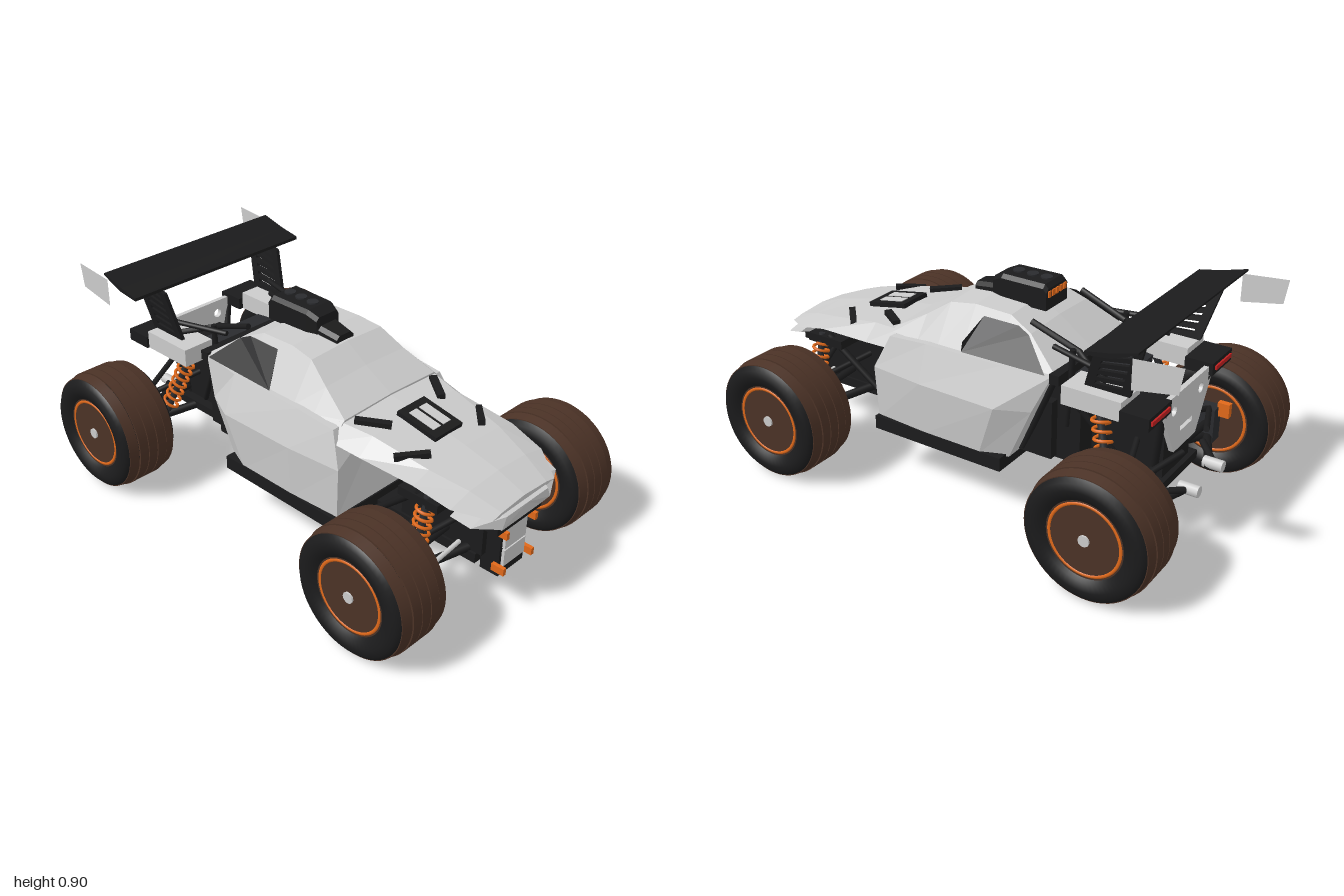
import * as THREE from 'three';

const GREY = 0xcccccc, BLACK = 0x1b1b1c, DARK = 0x2a2b2e, BROWN = 0x4b3226, ORANGE = 0xe0691a, RED = 0xc02020;
const mats = {};
const mat = (c, flat = false) => mats[c + '/' + flat] ??= new THREE.MeshStandardMaterial({ color: c, flatShading: flat, side: flat ? THREE.DoubleSide : THREE.FrontSide });
const V = (p) => new THREE.Vector3(...p);

function add(parent, name, geo, color, flat) {
  const m = new THREE.Mesh(geo, mat(color, flat));
  m.name = name;
  parent.add(m);
  return m;
}
// box given by its min and max corners
function box(parent, name, x0, x1, y0, y1, z0, z1, color) {
  const m = add(parent, name, new THREE.BoxGeometry(Math.abs(x1 - x0), y1 - y0, Math.abs(z1 - z0)), color);
  m.position.set((x0 + x1) / 2, (y0 + y1) / 2, (z0 + z1) / 2);
  return m;
}
// round rod between two points
function rod(parent, name, a, b, r, color = BLACK) {
  const p = V(a), q = V(b), d = q.clone().sub(p);
  const m = add(parent, name, new THREE.CylinderGeometry(r, r, d.length(), 10), color);
  m.position.copy(p).add(q).multiplyScalar(0.5);
  m.quaternion.setFromUnitVectors(new THREE.Vector3(0, 1, 0), d.normalize());
  return m;
}
// flat bar lying between two points
function bar(parent, name, a, b, w, h, color = BLACK) {
  const p = V(a), q = V(b);
  const m = add(parent, name, new THREE.BoxGeometry(w, h, p.distanceTo(q)), color);
  m.position.copy(p).add(q).multiplyScalar(0.5);
  m.lookAt(q);
  return m;
}
// thin faceted panel, fan of corner points
function panel(parent, name, pts, color) {
  const pos = [];
  for (let i = 1; i < pts.length - 1; i++) pos.push(...pts[0], ...pts[i], ...pts[i + 1]);
  const g = new THREE.BufferGeometry().setAttribute('position', new THREE.Float32BufferAttribute(pos, 3));
  g.computeVertexNormals();
  return add(parent, name, g, color, true);
}
// mirrored loft: each section is a half outline [x, y, z], top centre to bottom centre, front to back
function loft(parent, name, sections, color) {
  const rings = sections.map((h) => [...h, ...h.slice(1, -1).reverse().map(([x, y, z]) => [-x, y, z])]);
  const n = rings[0].length, pos = [], tri = (...p) => p.forEach((q) => pos.push(...q));
  for (let s = 0; s < rings.length - 1; s++) for (let i = 0; i < n; i++) {
    const j = (i + 1) % n, A = rings[s], B = rings[s + 1];
    tri(A[i], A[j], B[i]);
    tri(A[j], B[j], B[i]);
  }
  const F = rings[0], L = rings.at(-1);
  for (let i = 1; i < n - 1; i++) { tri(F[0], F[i + 1], F[i]); tri(L[0], L[i], L[i + 1]); }
  const g = new THREE.BufferGeometry().setAttribute('position', new THREE.Float32BufferAttribute(pos, 3));
  g.computeVertexNormals();
  return add(parent, name, g, color, true);
}

// tyre with tread bands, rim, spokes and hub; axle along x
function wheel() {
  const g = new THREE.Group(), spin = new THREE.Group();
  spin.rotation.z = -Math.PI / 2;
  g.add(spin);
  const half = [[0.14, 0.1], [0.165, 0.122], [0.195, 0.132], [0.222, 0.127], [0.238, 0.113], [0.245, 0.09]];
  const prof = [...half.map(([r, x]) => [r, -x]), ...[...half].reverse()].map((p) => new THREE.Vector2(...p));
  add(spin, 'tyre', new THREE.LatheGeometry(prof, 56), BLACK);
  for (let i = -2; i <= 2; i++) {
    const edge = Math.abs(i) === 2, r = edge ? 0.25 : 0.253;
    const t = add(spin, 'treadBand', new THREE.CylinderGeometry(i === 2 ? 0.242 : r, i === -2 ? 0.242 : r, 0.041, 56), BROWN);
    t.position.y = i * 0.045;
  }
  add(spin, 'rimDisc', new THREE.CylinderGeometry(0.145, 0.145, 0.17, 40), BLACK);
  for (const s of [1, -1]) {
    const ring = add(g, 'rimRing', new THREE.TorusGeometry(0.14, 0.009, 8, 48), ORANGE);
    ring.rotation.y = Math.PI / 2;
    ring.position.x = s * 0.104;
    for (let k = 0; k < 10; k++) {
      const a = k * Math.PI / 5, c = Math.cos(a), n = Math.sin(a);
      rod(g, 'spoke', [s * 0.1, c * 0.015, n * 0.015], [s * 0.09, c * 0.135, n * 0.135], 0.007, DARK);
    }
    rod(g, 'hub', [s * 0.08, 0, 0], [s * 0.118, 0, 0], 0.022, GREY);
  }
  return g;
}

// shock absorber: damper with a coil spring from a to b
function shock(parent, a, b) {
  const p = V(a), d = V(b).sub(p), len = d.length(), pts = [];
  for (let i = 0; i <= 84; i++) {
    const t = i / 84, w = t * 7 * Math.PI * 2;
    pts.push(new THREE.Vector3(Math.cos(w) * 0.032, (0.1 + t * 0.75) * len, Math.sin(w) * 0.032));
  }
  const coil = add(parent, 'spring', new THREE.TubeGeometry(new THREE.CatmullRomCurve3(pts), 140, 0.0065, 6), ORANGE);
  coil.position.copy(p);
  coil.quaternion.setFromUnitVectors(new THREE.Vector3(0, 1, 0), d.normalize());
  rod(parent, 'damper', a, b, 0.014, DARK);
}

export function createModel() {
  const car = new THREE.Group();
  car.name = 'buggy';

  // body shell: hood, nose lip, tub, cabin
  const hood = [[0.97, 0.495, 0.13, 0.18, 0.475], [0.85, 0.54, 0.16, 0.265, 0.505], [0.7, 0.575, 0.2, 0.285, 0.54],
    [0.46, 0.62, 0.23, 0.3, 0.55], [0.32, 0.636, 0.26, 0.31, 0.56]];
  loft(car, 'hood', hood.map(([z, y, xs, xe, ye]) => [[0, y, z], [xs, y - 0.01, z], [xe, ye, z], [0, ye - 0.02, z]]), GREY);
  loft(car, 'noseLip', [[0.985, 0.12, 0.14, 0.425], [0.93, 0.15, 0.25, 0.46], [0.85, 0.16, 0.265, 0.48]].map(([z, xs, xe, y], i) =>
    [[0, 0.47 + i * 0.015, z], [xs, 0.47 + i * 0.015, z], [xe, y, z], [0.115, 0.395 + i * 0.02, z - 0.02], [0, 0.395 + i * 0.02, z - 0.02]]), GREY);
  const tub = (zt, zm, zb, xt, xm, xb, yt) => [[0, yt, zt], [xt, yt, zt], [xm, 0.475, zm], [xb, 0.25, zb], [0, 0.25, zb]];
  loft(car, 'tub', [tub(0.33, 0.39, 0.38, 0.3, 0.335, 0.33, 0.61), tub(0.15, 0.15, 0.15, 0.305, 0.358, 0.345, 0.625),
    tub(-0.2, -0.2, -0.12, 0.305, 0.365, 0.345, 0.63), tub(-0.4, -0.33, -0.23, 0.275, 0.305, 0.3, 0.63)], GREY);
  const cabin = [[0.34, 0.64, 0.25, 0.27], [0.21, 0.712, 0.215, 0.28], [0.11, 0.778, 0.19, 0.287], [0, 0.792, 0.18, 0.29],
    [-0.16, 0.787, 0.18, 0.29], [-0.26, 0.742, 0.2, 0.285], [-0.4, 0.642, 0.262, 0.275]];
  loft(car, 'cabin', cabin.map(([z, y, xs, xb]) => [[0, y, z], [xs, y - 0.008, z], [xb, 0.615, z], [0, 0.61, z]]), GREY);

  // hood vent and roof scoop
  box(car, 'hoodVent', -0.075, 0.075, -0.01, 0.01, -0.095, 0.095, BLACK).position.set(0, 0.612, 0.53);
  car.children.at(-1).rotation.x = 0.18;
  for (const s of [1, -1]) {
    const v = box(car, 'ventSlat', 0, 0.042, 0, 0.012, 0, 0.12, GREY);
    v.position.set(s * 0.028, 0.619, 0.53);
    v.rotation.x = 0.18;
  }
  const scoop = [[0.1, 0.805, 0.045], [0.01, 0.82, 0.055], [0.005, 0.855, 0.06], [-0.04, 0.876, 0.072], [-0.23, 0.876, 0.075], [-0.245, 0.86, 0.075]];
  loft(car, 'roofScoop', scoop.map(([z, y, x]) => [[0, y, z], [x - 0.015, y, z], [x, y - 0.015, z], [x, 0.775, z], [0, 0.775, z]]), BLACK);
  for (const z of [-0.2, -0.138, -0.075]) rod(car, 'scoopFan', [0, 0.87, z], [0, 0.882, z], 0.024, DARK);
  for (let i = -2; i <= 2; i++) box(car, 'scoopLight', i * 0.027 - 0.009, i * 0.027 + 0.009, 0.825, 0.85, -0.25, -0.24, ORANGE);

  // floor, skid plates, front bumper, drivetrain boxes
  box(car, 'floor', -0.35, 0.35, 0.205, 0.262, -0.22, 0.385, BLACK);
  box(car, 'frontSkid', -0.11, 0.11, 0.19, 0.23, 0.38, 0.86, BLACK);
  box(car, 'frontBulkhead', -0.1, 0.1, 0.23, 0.46, 0.5, 0.88, BLACK);
  box(car, 'bumperFrame', -0.075, 0.075, 0.155, 0.39, 0.86, 0.94, BLACK);
  for (const [y0, y1] of [[0.2, 0.27], [0.277, 0.365]]) box(car, 'bumperPlate', -0.062, 0.062, y0, y1, 0.93, 0.952, GREY);
  box(car, 'noseBeam', -0.13, 0.13, 0.375, 0.405, 0.85, 0.96, BLACK);
  box(car, 'rearSkid', -0.15, 0.15, 0.215, 0.25, -0.8, -0.2, BLACK);
  box(car, 'engineBay', -0.2, 0.2, 0.25, 0.58, -0.48, -0.2, BLACK);
  box(car, 'gearbox', -0.11, 0.11, 0.25, 0.5, -0.78, -0.45, BLACK);
  const cover = box(car, 'engineCover', -0.165, 0.165, 0.56, 0.6, -0.58, -0.4, DARK);
  cover.rotation.x = -0.12;
  box(car, 'coverLight', -0.042, 0.042, 0.6, 0.625, -0.43, -0.4, ORANGE);
  box(car, 'rearRoofTrim', -0.28, 0.28, 0.6, 0.64, -0.43, -0.39, BLACK);

  // rear plate with round holes and a slot
  const plate = new THREE.Shape([[-0.19, 0.6], [-0.19, 0.54], [-0.09, 0.36], [0.09, 0.36], [0.19, 0.54], [0.19, 0.6]].map((p) => new THREE.Vector2(...p)));
  for (const x of [-0.11, 0.11]) plate.holes.push(new THREE.Path().absarc(x, 0.54, 0.02, 0, Math.PI * 2, true));
  plate.holes.push(new THREE.Path([[-0.05, 0.45], [0.05, 0.45], [0.05, 0.43], [-0.05, 0.43]].map((p) => new THREE.Vector2(...p))));
  add(car, 'rearPlate', new THREE.ExtrudeGeometry(plate, { depth: 0.02, bevelEnabled: false }), GREY).position.z = -0.81;

  // rear wing blade: curved section swept across
  const foil = [[0.62, 0.845], [0.72, 0.856], [0.82, 0.895], [0.82, 0.903], [0.71, 0.874], [0.62, 0.858]];
  const wing = new THREE.ExtrudeGeometry(new THREE.Shape(foil.map((p) => new THREE.Vector2(...p))), { depth: 0.88, bevelEnabled: false });
  wing.rotateY(Math.PI / 2).translate(-0.44, 0, 0);
  add(car, 'rearWing', wing, BLACK);

  // louvred wing strut outline with slots, in z and y, leaning outwards
  const lerp = THREE.MathUtils.lerp;
  const strutPt = (u, v) => new THREE.Vector2(lerp(lerp(0.54, 0.72, u), lerp(0.6, 0.79, u), v), lerp(0.645, lerp(0.84, 0.885, u), v));
  const strut = new THREE.Shape([strutPt(0, 0), strutPt(1, 0), strutPt(1, 1), strutPt(0, 1)]);
  for (let i = 0; i < 6; i++) {
    const v = 0.09 + i * 0.145;
    strut.holes.push(new THREE.Path([strutPt(0.2, v), strutPt(0.2, v + 0.06), strutPt(0.8, v + 0.08), strutPt(0.8, v + 0.02)]));
  }

  // everything that comes in left and right pairs
  for (const s of [1, -1]) {
    const side = new THREE.Group();
    side.name = s > 0 ? 'leftSide' : 'rightSide';
    car.add(side);
    const P = (x, y, z) => [s * x, y, z];

    for (const [n, z] of [['frontWheel', 0.717], ['rearWheel', -0.747]]) {
      const w = wheel();
      w.name = n;
      w.position.set(s * 0.5075, 0.256, z);
      side.add(w);
      rod(side, 'axle', P(0.08, 0.28, z), P(0.42, 0.256, z), 0.016);
      box(side, 'upright', s * 0.335, s * 0.4, 0.18, 0.33, z - 0.035, z + 0.035, DARK);
      box(side, 'brakeCaliper', s * 0.37, s * 0.405, 0.29, 0.35, z - 0.08, z - 0.03, ORANGE);
      for (const dz of [-0.13, 0.1]) {
        rod(side, 'lowerArm', P(0.09, 0.235, z + dz), P(0.36, 0.2, z), 0.018);
        rod(side, 'upperArm', P(0.1, 0.38, z + dz * 0.8), P(0.36, 0.32, z), 0.012);
      }
    }
    rod(side, 'steeringRod', P(0.13, 0.27, 0.8), P(0.35, 0.255, 0.81), 0.009, GREY);
    add(side, 'rodEnd', new THREE.SphereGeometry(0.018, 12, 8), GREY).position.set(s * 0.35, 0.255, 0.81);
    shock(side, P(0.305, 0.25, 0.74), P(0.25, 0.5, 0.74));
    shock(side, P(0.3, 0.27, -0.66), P(0.22, 0.57, -0.56));
    for (const y of [0.2, 0.36]) box(side, 'bumperLight', s * 0.076, s * 0.092, y - 0.015, y + 0.015, 0.92, 0.975, ORANGE);
    box(side, 'hoodMount', s * 0.1, s * 0.27, 0.46, 0.495, 0.62, 0.8, BLACK);
    rod(side, 'frontStrut', P(0.25, 0.5, 0.7), P(0.2, 0.24, 0.42), 0.014);

    // windows and hood slashes
    panel(side, 'sideWindow', [P(0.297, 0.632, -0.01), P(0.287, 0.67, -0.01), P(0.207, 0.758, -0.055), P(0.206, 0.757, -0.21), P(0.215, 0.735, -0.26), P(0.288, 0.632, -0.375)], BLACK);
    bar(side, 'hoodSlash', P(0.22, 0.628, 0.36), P(0.14, 0.62, 0.47), 0.03, 0.022);
    bar(side, 'hoodSlash', P(0.24, 0.575, 0.57), P(0.145, 0.588, 0.66), 0.026, 0.022);

    // rear frame tubes
    rod(side, 'rollTube', P(0.18, 0.775, -0.25), P(0.17, 0.7, -0.45), 0.012);
    rod(side, 'rollTube', P(0.17, 0.7, -0.45), P(0.26, 0.65, -0.6), 0.012);
    rod(side, 'rollTube', P(0.2, 0.71, -0.36), P(0.27, 0.7, -0.62), 0.011);
    rod(side, 'rearBrace', P(0.25, 0.62, -0.4), P(0.23, 0.27, -0.25), 0.014);
    rod(side, 'rearBrace', P(0.2, 0.72, -0.44), P(0.2, 0.4, -0.42), 0.012);
    rod(side, 'rearBrace', P(0.22, 0.56, -0.42), P(0.12, 0.27, -0.62), 0.012);
    rod(side, 'rearBrace', P(0.18, 0.56, -0.8), P(0.1, 0.25, -0.74), 0.014);
    box(side, 'engineSidePlate', s * 0.2, s * 0.24, 0.26, 0.5, -0.38, -0.22, BLACK);

    // rear boxes, tail lights and exhaust
    box(side, 'rearBox', s * 0.19, s * 0.33, 0.565, 0.64, -0.71, -0.47, GREY);
    box(side, 'tailLightHousing', s * 0.17, s * 0.34, 0.565, 0.615, -0.825, -0.71, BLACK);
    box(side, 'tailLight', s * 0.19, s * 0.325, 0.583, 0.6, -0.832, -0.82, RED);
    rod(side, 'exhaustPipe', P(0.22, 0.25, -0.79), P(0.12, 0.24, -0.88), 0.014);
    rod(side, 'exhaustTip', P(0.105, 0.24, -0.85), P(0.105, 0.24, -0.93), 0.023, GREY);

    // wing strut and end plate
    const g = new THREE.ExtrudeGeometry(strut, { depth: 0.016, bevelEnabled: false });
    g.rotateY(Math.PI / 2);
    const p = g.attributes.position;
    for (let i = 0; i < p.count; i++) p.setX(i, p.getX(i) - 0.008 + s * (0.28 + (p.getY(i) - 0.645) * 0.14));
    g.computeVertexNormals();
    add(side, 'wingStrut', g, BLACK);
    panel(side, 'wingEndPlate', [P(0.44, 0.765, -0.8), P(0.44, 0.88, -0.8), P(0.44, 0.895, -0.985), P(0.44, 0.795, -0.97)], GREY);
  }
  return car;
}
